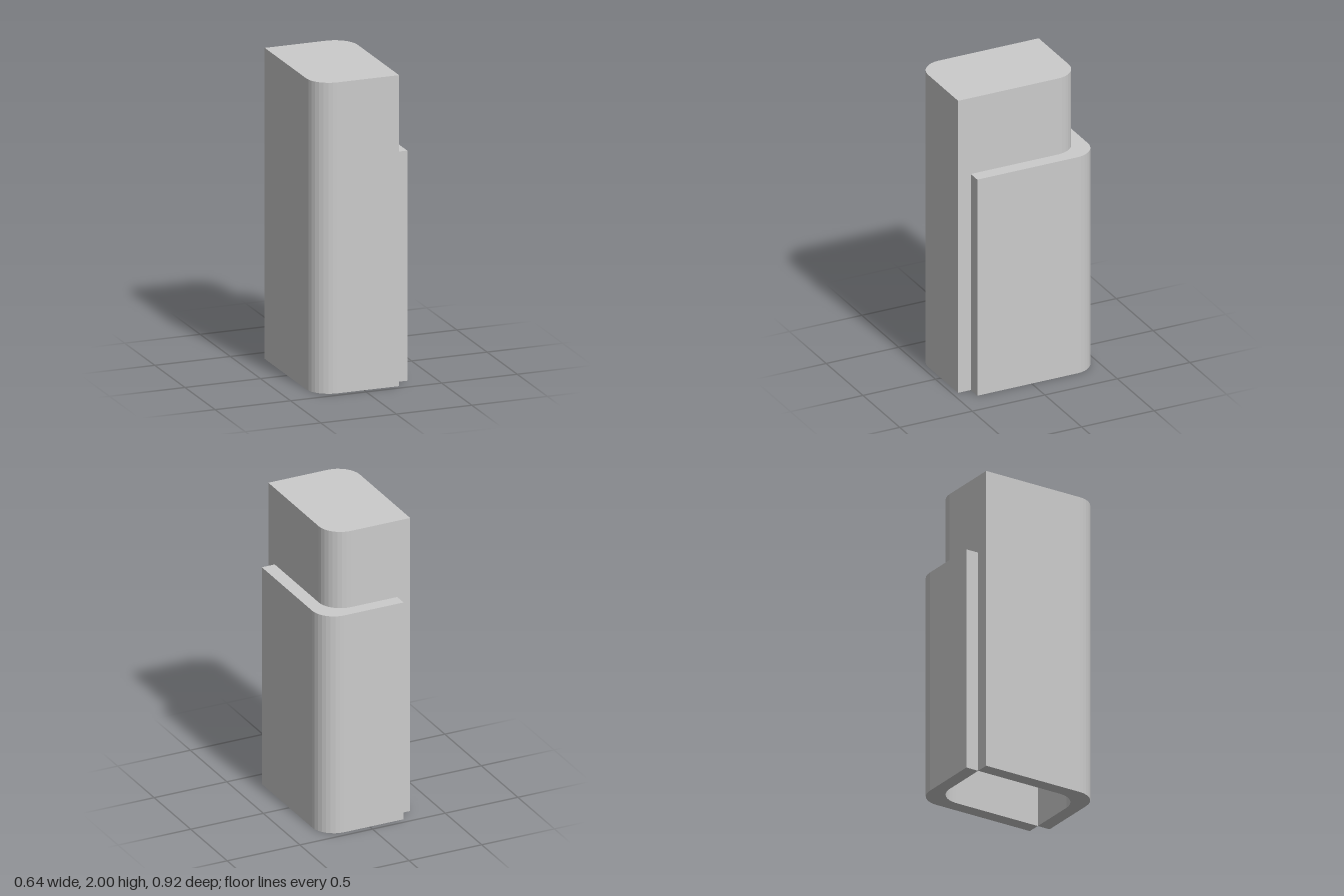
import * as THREE from 'three';

const OX = 0.322, OZ = 0.462;   // outer half extents
const IX = 0.233, IZ = 0.375;   // inner half extents
const R = 0.148;                // corner radius
const STEP = 1.48, TOP = 2;

// shape y is -z; outer rounded corner closes both outlines
function closeOuter(s) {
  s.lineTo(-OX, IZ);
  s.lineTo(-OX, -OZ + R);
  s.absarc(-OX + R, -OZ + R, R, Math.PI, Math.PI * 1.5, false);
  s.closePath();
  return s;
}

// L-shaped wall with a rounded bend
function wallShape() {
  const s = new THREE.Shape();
  s.moveTo(IX, -OZ);
  s.lineTo(IX, -IZ);
  s.lineTo(-IX + R, -IZ);
  s.absarc(-IX + R, -IZ + R, R, Math.PI * 1.5, Math.PI, true);
  s.lineTo(-IX, IZ);
  return closeOuter(s);
}

// full block with two opposite rounded corners
function blockShape() {
  const s = new THREE.Shape();
  s.moveTo(IX, -OZ);
  s.lineTo(IX, IZ - R);
  s.absarc(IX - R, IZ - R, R, 0, Math.PI / 2, false);
  return closeOuter(s);
}

export function createModel() {
  const group = new THREE.Group();
  const material = new THREE.MeshStandardMaterial({
    color: 0xcccccc, flatShading: true, side: THREE.DoubleSide,
  });

  function add(name, shape, y0, y1, turn = 0) {
    const geo = new THREE.ExtrudeGeometry(shape, {
      depth: y1 - y0, bevelEnabled: false, curveSegments: 4,
    });
    geo.rotateX(-Math.PI / 2);
    geo.rotateY(turn);
    geo.translate(0, y0, 0);
    const mesh = new THREE.Mesh(geo, material);
    mesh.name = name;
    group.add(mesh);
  }

  // two interlocking walls around an open-bottomed cavity
  add('frontLeftWall', wallShape(), 0, STEP);
  add('backRightWall', wallShape(), 0, STEP, Math.PI);
  // upper tower closing the cavity
  add('upperTower', blockShape(), STEP, TOP);

  return group;
}
